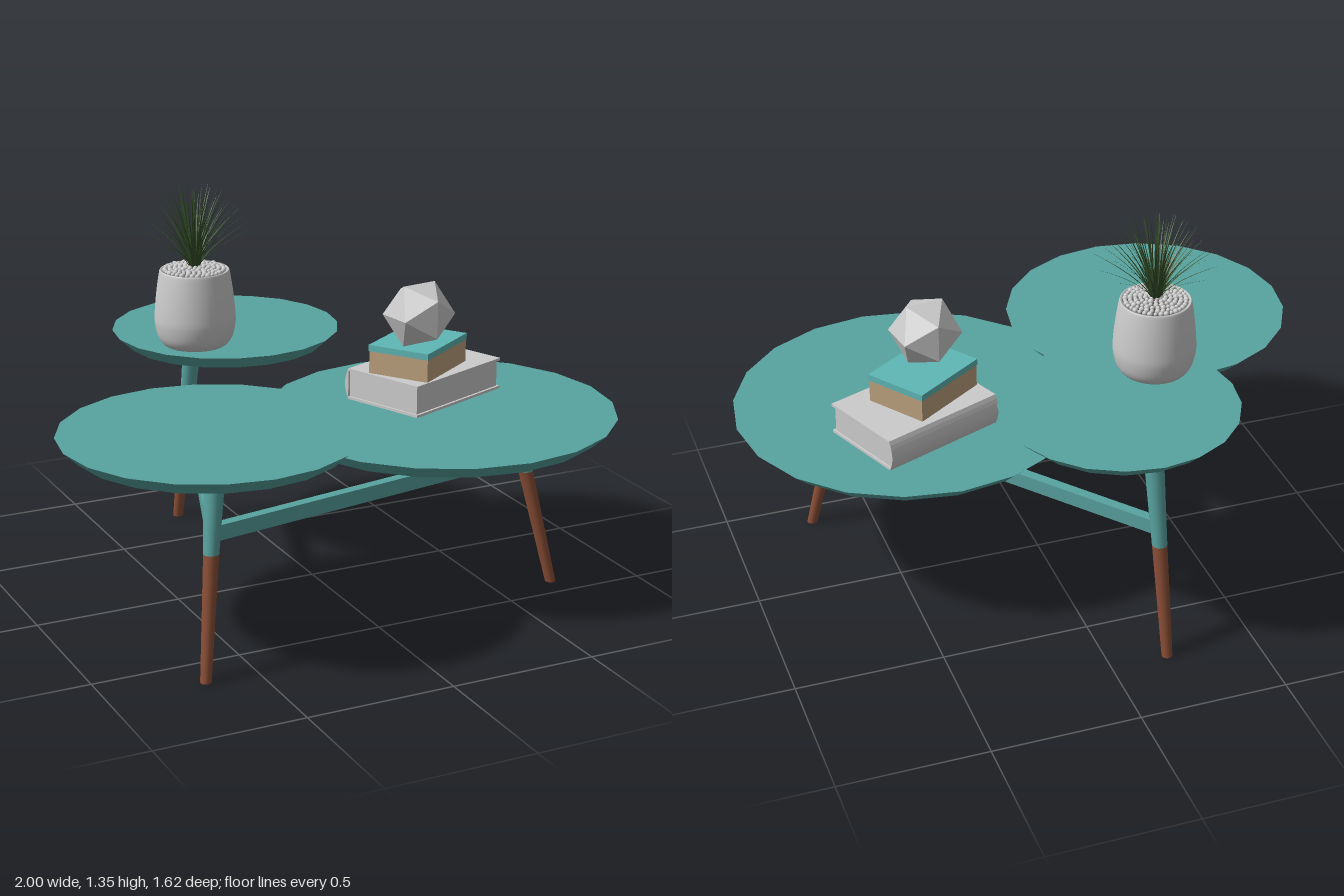
import * as THREE from 'three';
import { mergeGeometries } from 'three/addons/utils/BufferGeometryUtils.js';

const mat = (color, extra = {}) => {
  const m = new THREE.MeshStandardMaterial({ color });
  return Object.assign(m, extra);
};
const teal = mat(0x58a3a0, { flatShading: true });
const tealSmooth = mat(0x58a3a0);
const lidTeal = mat(0x5fb8b6);
const wood = mat(0x8a4e36);
const paper = mat(0xbda27f);
const grey = mat(0xcccccc);
const greyFlat = mat(0xcccccc, { flatShading: true });
const greyOpen = mat(0xcccccc, { side: THREE.DoubleSide });
const green = mat(0x34502a, { side: THREE.DoubleSide });

function add(parent, name, geometry, material, x = 0, y = 0, z = 0) {
  const mesh = new THREE.Mesh(geometry, material);
  mesh.name = name;
  mesh.position.set(x, y, z);
  parent.add(mesh);
  return mesh;
}

// Leaning round post with level ends: a cylinder sheared from a to b
function post(a, b, ra, rb) {
  const h = b.y - a.y;
  const g = new THREE.CylinderGeometry(rb, ra, h, 16);
  g.applyMatrix4(new THREE.Matrix4().set(
    1, (b.x - a.x) / h, 0, (a.x + b.x) / 2,
    0, 1, 0, (a.y + b.y) / 2,
    0, (b.z - a.z) / h, 1, (a.z + b.z) / 2,
    0, 0, 0, 1));
  return g;
}

// Curved tapering blade leaning out to a given reach and height
function blade(angle, reach, height, baseRadius) {
  const steps = 6, pos = [], index = [];
  const c = Math.cos(angle), s = Math.sin(angle);
  for (let i = 0; i <= steps; i++) {
    const t = i / steps;
    const r = baseRadius + (reach - baseRadius) * Math.pow(t, 1.35);
    const y = height * (1.2 * t - 0.2 * t * t);
    const w = 0.0045 * (1 - t) + 0.0004;
    pos.push(r * c - w * s, y, r * s + w * c, r * c + w * s, y, r * s - w * c);
    if (i < steps) index.push(2 * i, 2 * i + 1, 2 * i + 2, 2 * i + 1, 2 * i + 3, 2 * i + 2);
  }
  const g = new THREE.BufferGeometry();
  g.setAttribute('position', new THREE.Float32BufferAttribute(pos, 3));
  g.setIndex(index);
  g.computeVertexNormals();
  return g;
}

function createPlant() {
  const plant = new THREE.Group();
  plant.name = 'pottedPlant';
  plant.position.set(-0.315, 0.8, -0.255);

  const profile = new THREE.SplineCurve([
    [0.085, 0], [0.107, 0.008], [0.126, 0.035], [0.136, 0.08], [0.136, 0.12],
    [0.129, 0.19], [0.119, 0.255], [0.115, 0.265],
  ].map(p => new THREE.Vector2(...p))).getPoints(28);
  const outline = [new THREE.Vector2(0, 0), ...profile,
    new THREE.Vector2(0.107, 0.263), new THREE.Vector2(0.106, 0.235)];
  add(plant, 'pot', new THREE.LatheGeometry(outline, 40), greyOpen);
  add(plant, 'soil', new THREE.CylinderGeometry(0.108, 0.108, 0.01, 32), mat(0x4a4038), 0, 0.25, 0);

  // Pebbles in rings over the soil
  const stones = [];
  for (let ring = 1; ring <= 6; ring++) {
    const r = ring * 0.0165, n = Math.round(ring * 5.8);
    for (let i = 0; i < n; i++) {
      const a = (i / n) * Math.PI * 2 + ring * 0.7;
      const size = 0.0085 + 0.0015 * Math.sin(i * 2.3 + ring);
      stones.push(new THREE.IcosahedronGeometry(size, 1)
        .translate(r * Math.cos(a), 0.264 + 0.012 * (1 - r / 0.1), r * Math.sin(a)));
    }
  }
  add(plant, 'pebbles', mergeGeometries(stones), grey);

  // Rings of blades: count, reach, height
  const blades = [];
  [[12, 0.205, 0.14], [14, 0.175, 0.185], [14, 0.15, 0.22], [14, 0.125, 0.255],
    [12, 0.095, 0.27], [10, 0.06, 0.275], [6, 0.03, 0.275], [2, 0.003, 0.28]]
    .forEach(([n, reach, height], ring) => {
      for (let i = 0; i < n; i++) {
        const vary = 1 - 0.05 * (0.5 + 0.5 * Math.sin(i * 4.1 + ring));
        blades.push(blade((i / n) * Math.PI * 2 + ring * 0.37, reach * vary, height * vary, Math.min(0.014, reach)));
      }
    });
  add(plant, 'grassBlades', mergeGeometries(blades), green, 0, 0.27, 0);
  add(plant, 'grassRoot', new THREE.CylinderGeometry(0.013, 0.018, 0.045, 12), mat(0x5c3a2a), 0, 0.28, 0);
  return plant;
}

function createBook() {
  const book = new THREE.Group();
  book.name = 'largeBook';
  book.position.set(0.435, 0.59, -0.022);
  book.rotation.y = 0.38;
  const w = 0.446, d = 0.323, h = 0.11, t = 0.009;
  for (const y of [t / 2, h - t / 2]) {
    add(book, 'cover', new THREE.BoxGeometry(w, t, d - 0.015), grey, 0, y, 0.0075);
  }
  add(book, 'pages', new THREE.BoxGeometry(w - 0.016, h - 2 * t, d - 0.025), grey, 0, h / 2, 0.004);
  // Bowed spine along the back
  const s = new THREE.Shape();
  s.moveTo(0, 0);
  s.quadraticCurveTo(0.03, h / 2, 0, h);
  s.closePath();
  const spine = add(book, 'spine', new THREE.ExtrudeGeometry(s, { depth: w, bevelEnabled: false, curveSegments: 8 }),
    grey, -w / 2, 0, -d / 2 + 0.015);
  spine.rotation.y = Math.PI / 2;
  return book;
}

export function createModel() {
  const model = new THREE.Group();
  model.name = 'tieredTable';

  // Three tops with undercut edges, each on one splayed leg
  const tiers = [
    { name: 'left', c: [-0.51, 0.315], r: 0.49, y: 0.695, foot: [-0.675, 0.64], head: [-0.6, 0.555] },
    { name: 'back', c: [-0.132, -0.42], r: 0.393, y: 0.8, foot: [-0.196, -0.73], head: [-0.177, -0.6] },
    { name: 'right', c: [0.403, 0.165], r: 0.597, y: 0.59, foot: [0.71, 0.405], head: [0.595, 0.345] },
  ];
  const joints = tiers.map(({ name, c, r, y, foot, head }) => {
    const thick = 0.047, under = y - thick;
    add(model, name + 'Top', new THREE.CylinderGeometry(r, r - 0.05, thick, 20), teal, c[0], y - thick / 2, c[1]);
    const a = new THREE.Vector3(foot[0], 0, foot[1]);
    const b = new THREE.Vector3(head[0], under, head[1]);
    const at = h => a.clone().lerp(b, h / under);
    add(model, name + 'LegFoot', post(a, at(0.4), 0.018, 0.025), wood);
    add(model, name + 'LegUpper', post(at(0.4), b, 0.025, 0.034), tealSmooth);
    return at(0.465);
  });

  // Stretchers joining the legs in a triangle
  joints.forEach((p, i) => {
    const q = joints[(i + 1) % 3];
    const mid = p.clone().add(q).multiplyScalar(0.5);
    const bar = add(model, 'stretcher', new THREE.BoxGeometry(0.035, 0.05, p.distanceTo(q)), teal, mid.x, mid.y, mid.z);
    bar.lookAt(q);
  });

  // Stacked book and box with the faceted ornament on top
  model.add(createBook());
  const box = new THREE.Group();
  box.name = 'smallBox';
  box.position.set(0.395, 0.7, 0.013);
  box.rotation.y = 0.6;
  add(box, 'boxBody', new THREE.BoxGeometry(0.288, 0.078, 0.222), paper, 0, 0.039, 0);
  add(box, 'boxLid', new THREE.BoxGeometry(0.292, 0.022, 0.226), lidTeal, 0, 0.089, 0);
  model.add(box);
  const gem = add(model, 'facetedOrnament', new THREE.IcosahedronGeometry(0.123, 0), greyFlat, 0.37, 0.905, 0.062);
  gem.rotation.y = 0.15;

  model.add(createPlant());
  return model;
}
